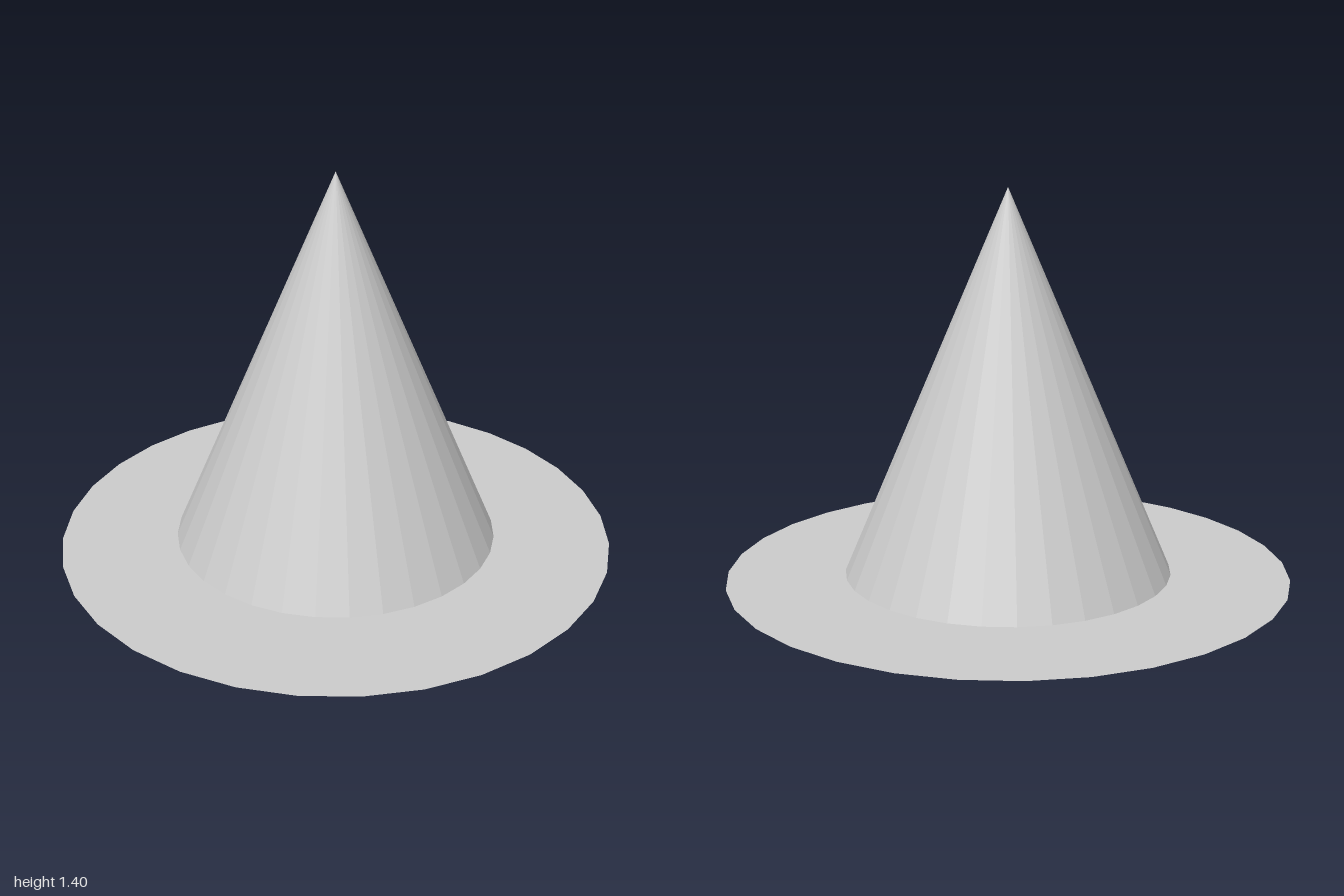
import * as THREE from 'three';

const SIDES = 32;
const HEIGHT = 1.4;
const CONE_RADIUS = 0.6;
const BRIM_RADIUS = 1;
const BRIM_Y = 0.04;

export function createModel() {
  const group = new THREE.Group();
  group.name = 'coneHat';

  // Faceted, closed cone standing on the ground
  const cone = new THREE.Mesh(
    new THREE.ConeGeometry(CONE_RADIUS, HEIGHT, SIDES),
    new THREE.MeshStandardMaterial({ color: 0xcccccc, flatShading: true })
  );
  cone.name = 'cone';
  cone.position.y = HEIGHT / 2;

  // Paper-thin flat brim that meets the cone slightly above its base
  const innerRadius = CONE_RADIUS * (1 - BRIM_Y / HEIGHT);
  const brim = new THREE.Mesh(
    new THREE.RingGeometry(innerRadius, BRIM_RADIUS, SIDES).rotateX(-Math.PI / 2),
    new THREE.MeshStandardMaterial({ color: 0xcccccc, flatShading: true, side: THREE.DoubleSide })
  );
  brim.name = 'brim';
  brim.position.y = BRIM_Y;

  group.add(cone, brim);
  return group;
}
